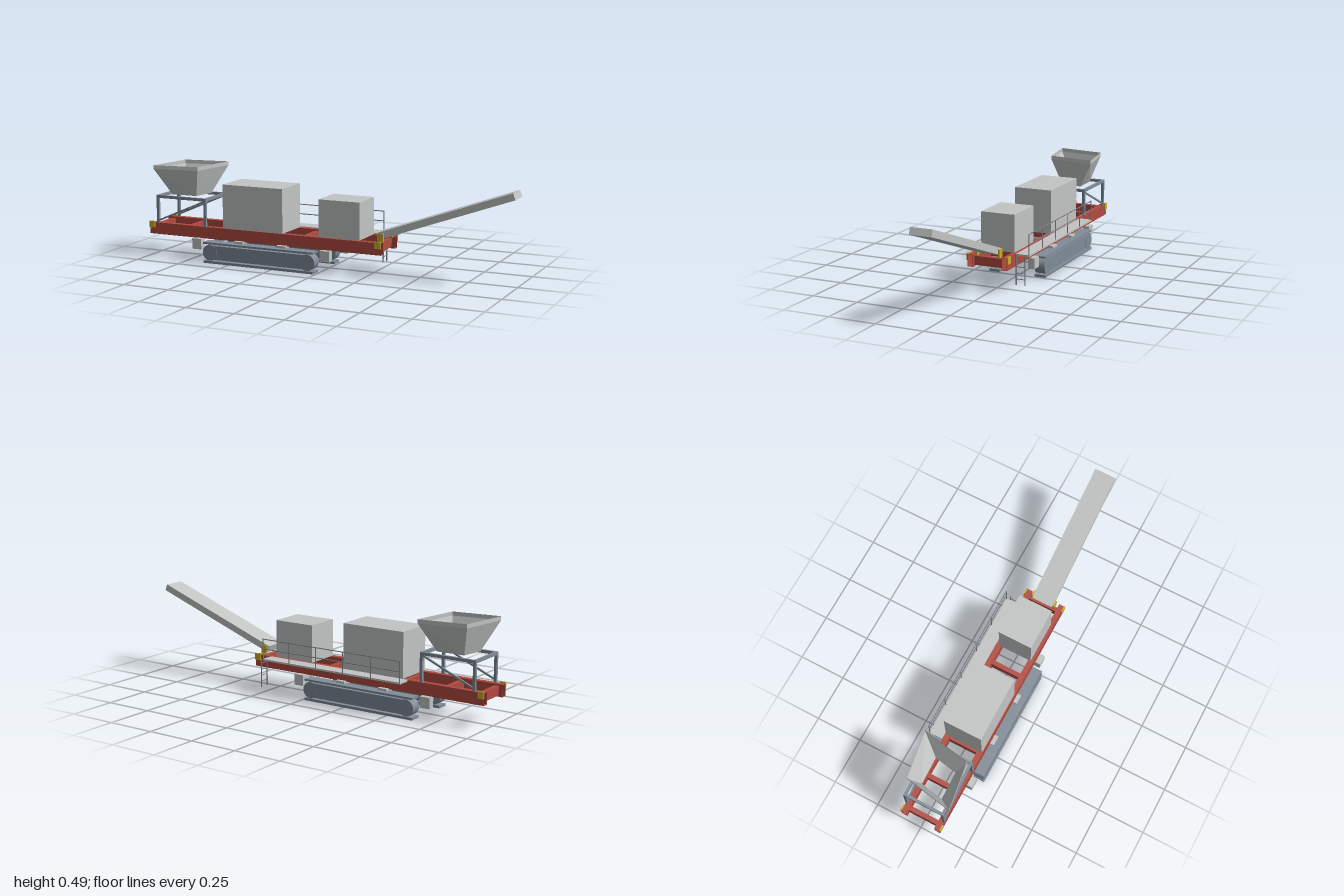
import * as THREE from 'three';

const paint = (name, color, extra = {}) => {
  const m = new THREE.MeshStandardMaterial({ color, ...extra });
  m.name = name;
  return m;
};

export function createModel() {
  const root = new THREE.Group();
  root.name = 'mobileCrusher';
  const grey = paint('lightGrey', 0xc3c5c5);
  const hopperGrey = paint('lightGreySheet', 0xc3c5c5, { side: THREE.DoubleSide });
  const red = paint('frameRed', 0xb04a40);
  const slate = paint('slateSteel', 0x808c98);
  const yellow = paint('bracketYellow', 0xc8ac2c);
  const steel = paint('railSteel', 0x7c7f82);
  const MID = 0.011; // z of the machine's centre line

  const add = (name, geo, mat, x = 0, y = 0, z = 0) => {
    const m = new THREE.Mesh(geo, mat);
    m.name = name;
    m.position.set(x, y, z);
    root.add(m);
    return m;
  };
  // Box given by its limits on each axis
  const box = (name, mat, x0, x1, y0, y1, z0, z1) =>
    add(name, new THREE.BoxGeometry(x1 - x0, y1 - y0, z1 - z0), mat,
      (x0 + x1) / 2, (y0 + y1) / 2, (z0 + z1) / 2);
  // Same box on both sides of the centre line, limits measured outwards
  const pair = (name, mat, x0, x1, y0, y1, d0, d1) => {
    box(name + 'Front', mat, x0, x1, y0, y1, MID + d0, MID + d1);
    box(name + 'Back', mat, x0, x1, y0, y1, MID - d1, MID - d0);
  };
  // Square or round bar between two points
  const bar = (name, mat, a, b, r, sides = 8) => {
    const p = new THREE.Vector3(...a), q = new THREE.Vector3(...b);
    const d = q.clone().sub(p);
    const geo = new THREE.CylinderGeometry(r, r, d.length(), sides);
    if (sides === 4) geo.rotateY(Math.PI / 4);
    const m = add(name, sides === 4 ? geo.toNonIndexed() : geo, mat);
    if (sides === 4) m.geometry.computeVertexNormals();
    m.position.copy(p).add(q).multiplyScalar(0.5);
    m.quaternion.setFromUnitVectors(new THREE.Vector3(0, 1, 0), d.normalize());
  };

  // Chassis: two hollow rails and cross members
  const rect = (C, w, h) => {
    const s = new C();
    s.moveTo(-w, -h); s.lineTo(w, -h); s.lineTo(w, h); s.lineTo(-w, h); s.closePath();
    return s;
  };
  const section = rect(THREE.Shape, 0.0145, 0.031);
  section.holes.push(rect(THREE.Path, 0.0125, 0.029));
  const railGeo = new THREE.ExtrudeGeometry(section, { depth: 1.335, bevelEnabled: false });
  railGeo.rotateY(Math.PI / 2);
  for (const s of [1, -1]) add('chassisRail', railGeo, red, -1, 0.151, MID + s * 0.0925);
  for (const x of [-0.967, -0.78, -0.555, -0.33, -0.105, 0.12, 0.305])
    box('crossMember', red, x - 0.012, x + 0.012, 0.127, 0.173, MID - 0.079, MID + 0.079);

  // Yellow corner and conveyor brackets
  pair('cornerBracketLeft', yellow, 0.302, 0.336, 0.153, 0.188, 0.106, 0.113);
  pair('cornerBracketRight', yellow, -1, -0.968, 0.153, 0.188, 0.106, 0.113);
  pair('conveyorBracket', yellow, 0.298, 0.33, 0.18, 0.222, 0.058, 0.066);

  // Crawler tracks
  for (const s of [1, -1]) {
    const z = MID + s * 0.129;
    box('trackBody', slate, -0.607, -0.047, 0.022, 0.096, z - 0.0265, z + 0.0265);
    for (const x of [-0.607, -0.047]) {
      const wheel = add('trackWheel', new THREE.CylinderGeometry(0.042, 0.042, 0.056, 32), slate, x, 0.058, z);
      wheel.rotation.x = Math.PI / 2;
    }
    box('trackTopPad', slate, -0.645, -0.012, 0.103, 0.113, z - 0.03, z + 0.03);
    box('trackBottomPad', slate, -0.645, -0.012, 0.002, 0.015, z - 0.03, z + 0.03);
  }
  for (const x of [-0.455, -0.207])
    pair('trackMount', grey, x - 0.026, x + 0.026, 0.095, 0.124, 0.08, 0.128);

  // Support blocks outside the rails
  for (const x of [-0.698, 0.04])
    pair('supportBlock', grey, x - 0.027, x + 0.027, 0.065, 0.121, 0.098, 0.134);

  // Machinery housings
  box('crusherHousing', grey, -0.556, -0.21, 0.182, 0.413, -0.091, 0.114);
  box('engineHousing', grey, -0.012, 0.213, 0.182, 0.374, -0.08, 0.103);

  // Hopper stand
  const xs = [-0.947, -0.661];
  for (const x of xs) {
    pair('standPost', slate, x - 0.007, x + 0.007, 0.18, 0.331, 0.097, 0.111);
    box('standEndBeam', slate, x - 0.007, x + 0.007, 0.316, 0.331, MID - 0.098, MID + 0.098);
  }
  pair('standSideBeam', slate, -0.954, -0.654, 0.316, 0.331, 0.097, 0.111);
  for (const s of [1, -1])
    bar('standBrace', slate, [-0.943, 0.195, MID + s * 0.104], [-0.665, 0.315, MID + s * 0.104], 0.006, 4);

  // Hopper: skewed four-sided funnel with an upright rim
  const ring = (a, b, y) => [a, b, [-a[0], -a[1]], [-b[0], -b[1]]]
    .map(([x, z]) => [x - 0.801, y, z + 0.0125]);
  const topA = [0.1435, -0.1445], topB = [0.1, 0.107];
  const rings = [
    ring([0.083, -0.062], [0.062, 0.058], 0.332),
    ring(topA, topB, 0.475),
    ring(topA, topB, 0.495),
  ];
  const pos = [];
  for (let r = 0; r < 2; r++)
    for (let i = 0; i < 4; i++) {
      const j = (i + 1) % 4;
      const [a, b, c, d] = [rings[r][i], rings[r + 1][i], rings[r + 1][j], rings[r][j]];
      pos.push(...a, ...b, ...c, ...a, ...c, ...d);
    }
  const funnel = new THREE.BufferGeometry();
  funnel.setAttribute('position', new THREE.Float32BufferAttribute(pos, 3));
  funnel.computeVertexNormals();
  add('hopper', funnel, hopperGrey);

  // Discharge conveyor
  const conveyor = add('dischargeConveyor', new THREE.BoxGeometry(0.741, 0.035, 0.114), grey, 0.6425, 0.329, MID);
  conveyor.rotation.z = 0.346;

  // Walkway with handrail along the back
  box('walkway', grey, -0.587, 0.236, 0.175, 0.184, -0.168, -0.098);
  const zr = -0.1665;
  for (let i = 0; i < 6; i++) {
    const x = -0.584 + i * 0.1632;
    bar('railPost', steel, [x, 0.18, zr], [x, 0.29, zr], 0.0025);
  }
  for (const y of [0.237, 0.288])
    bar('handrail', steel, [-0.586, y, zr], [0.234, y, zr], 0.0025);

  // Access ladder
  for (const z of [-0.108, -0.155])
    bar('ladderStile', steel, [0.254, 0.032, z], [0.254, 0.186, z], 0.003);
  for (const y of [0.062, 0.093, 0.125, 0.156])
    bar('ladderRung', steel, [0.254, y, -0.108], [0.254, y, -0.155], 0.0022);

  return root;
}
